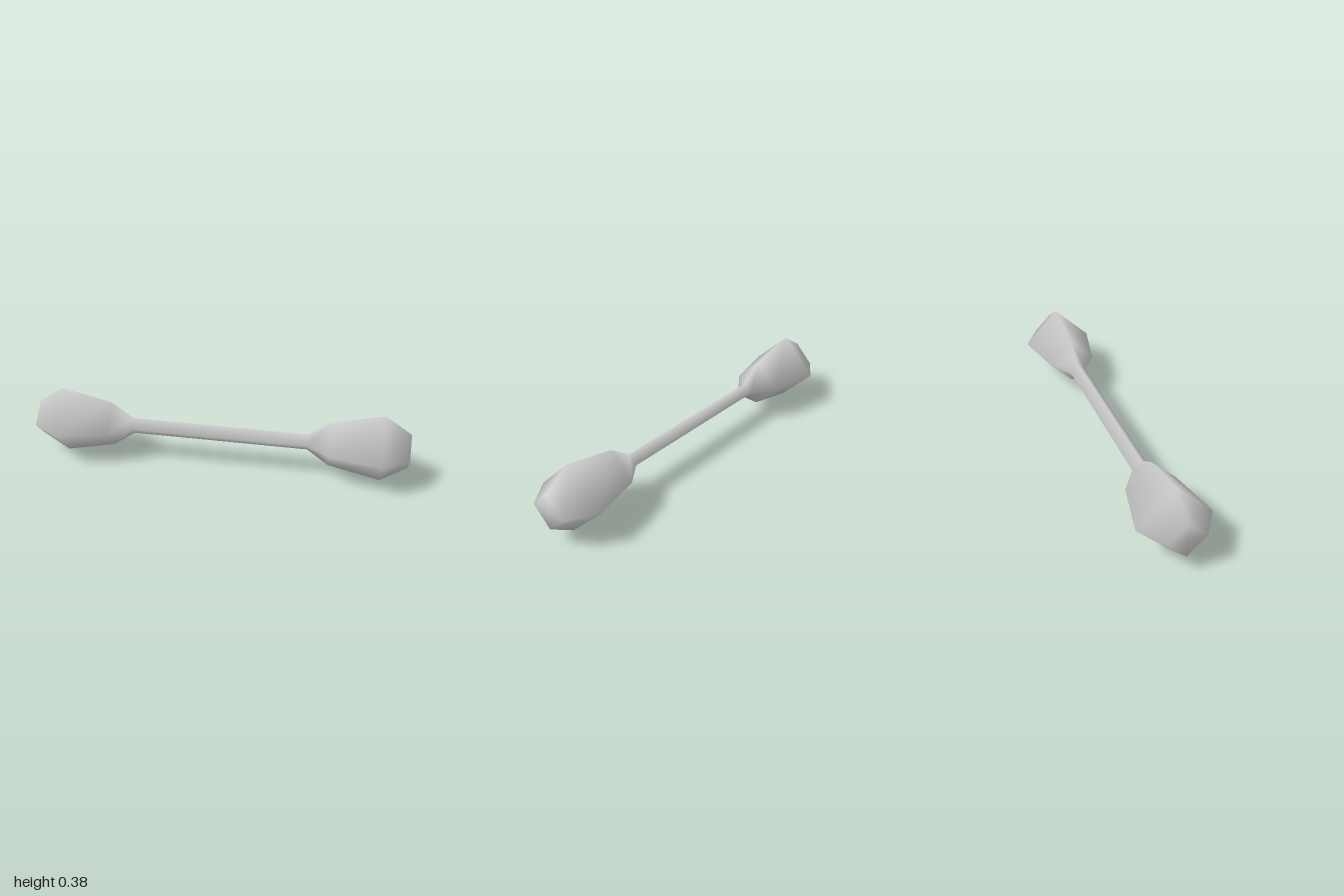
import * as THREE from 'three';

export function createModel() {
  const group = new THREE.Group();
  group.name = 'dumbbell';
  const grey = new THREE.MeshStandardMaterial({ color: 0xcccccc });
  grey.name = 'light grey';

  // Half profile as [radius, distance from the middle]: end cap, bulb, neck, bar
  const half = [[0, 1], [0.1, 1], [0.192, 0.863], [0.131, 0.59], [0.046, 0.473]];
  const profile = [
    ...half.map(([r, d]) => new THREE.Vector2(r, -d)),
    ...half.slice().reverse().map(([r, d]) => new THREE.Vector2(r, d)),
  ];

  // One continuous four-sided bar with bulb ends, smooth shaded, corners up and down
  const bar = new THREE.Mesh(new THREE.LatheGeometry(profile, 4), grey);
  bar.name = 'barWithBulbEnds';
  bar.rotation.z = -Math.PI / 2;
  bar.position.y = 0.192;
  group.add(bar);
  return group;
}
